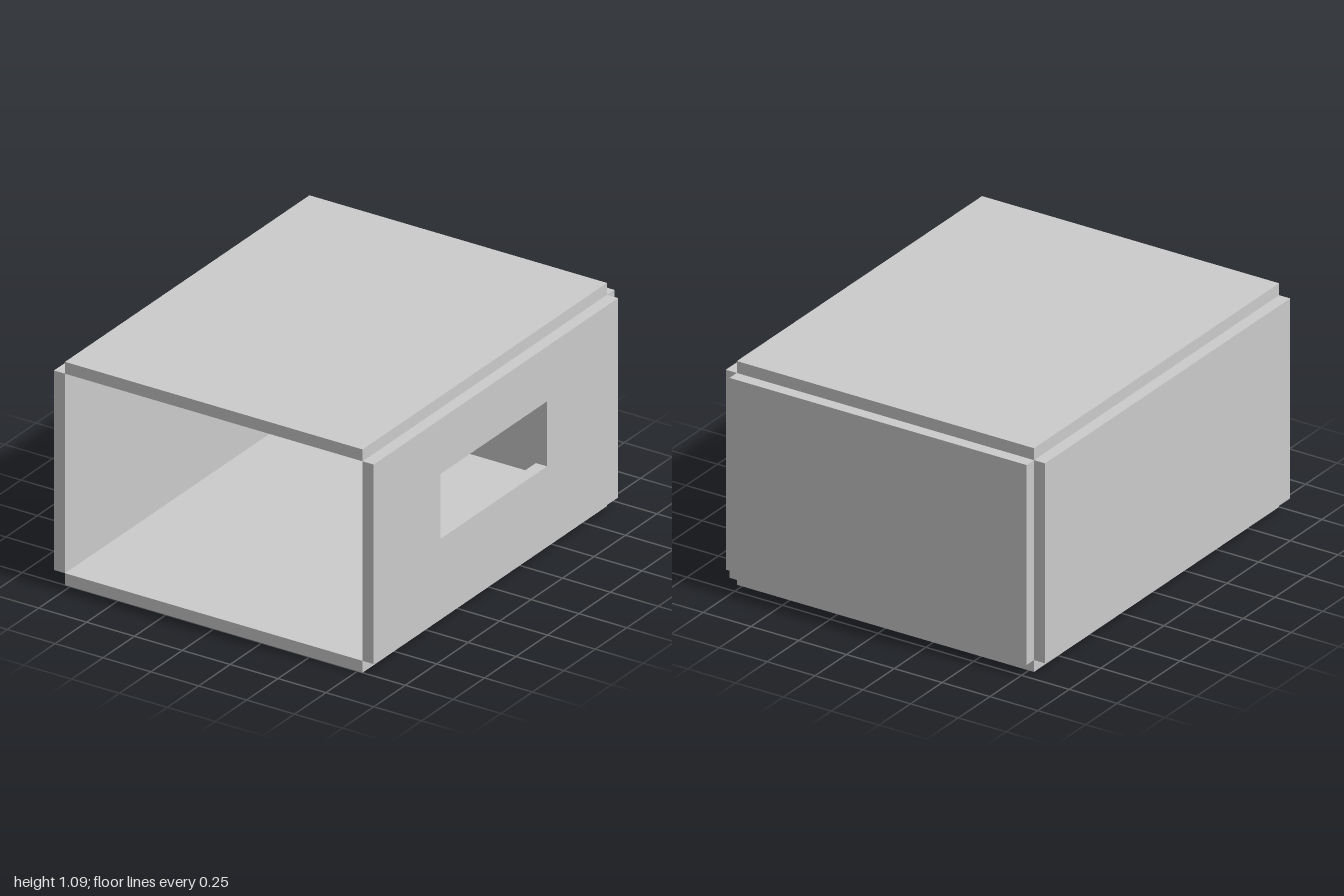
import * as THREE from 'three';

// Panel extents
const T = 0.058;              // panel thickness
const W = 0.777;              // half width of the inner space
const H = 1.09;               // overall height
const FRONT = 1, BACK = -1;   // open front edge, rear outer face
const INNER_BACK = BACK + T;

const material = new THREE.MeshStandardMaterial({ color: 0xcccccc, flatShading: true });

// Box given by its minimum and maximum corners
function panel(name, min, max) {
  const size = max.map((v, i) => v - min[i]);
  const geometry = new THREE.BoxGeometry(...size);
  geometry.translate(...min.map((v, i) => v + size[i] / 2));
  const mesh = new THREE.Mesh(geometry, material);
  mesh.name = name;
  return mesh;
}

function rectangle(path, x0, y0, x1, y1) {
  path.moveTo(x0, y0);
  path.lineTo(x1, y0);
  path.lineTo(x1, y1);
  path.lineTo(x0, y1);
  path.closePath();
  return path;
}

// Side wall with a rectangular window, drawn along -z and extruded towards +x
function windowWall() {
  const shape = rectangle(new THREE.Shape(), -FRONT, T, -INNER_BACK, H - T);
  shape.holes.push(rectangle(new THREE.Path(), -0.47, 0.447, 0.377, 0.764));
  const geometry = new THREE.ExtrudeGeometry(shape, { depth: T, bevelEnabled: false });
  geometry.rotateY(Math.PI / 2);
  geometry.translate(W, 0, 0);
  const mesh = new THREE.Mesh(geometry, material);
  mesh.name = 'leftWallWithWindow';
  return mesh;
}

export function createModel() {
  const group = new THREE.Group();
  group.name = 'openBox';
  group.add(
    panel('floor', [-W, 0, INNER_BACK], [W, T, FRONT]),
    panel('roof', [-W, H - T, INNER_BACK], [W, H, FRONT]),
    panel('backWall', [-W, T, BACK], [W, H - T, INNER_BACK]),
    panel('rightWall', [-W - T, T, INNER_BACK], [-W, H - T, FRONT]),
    windowWall(),
  );
  return group;
}
